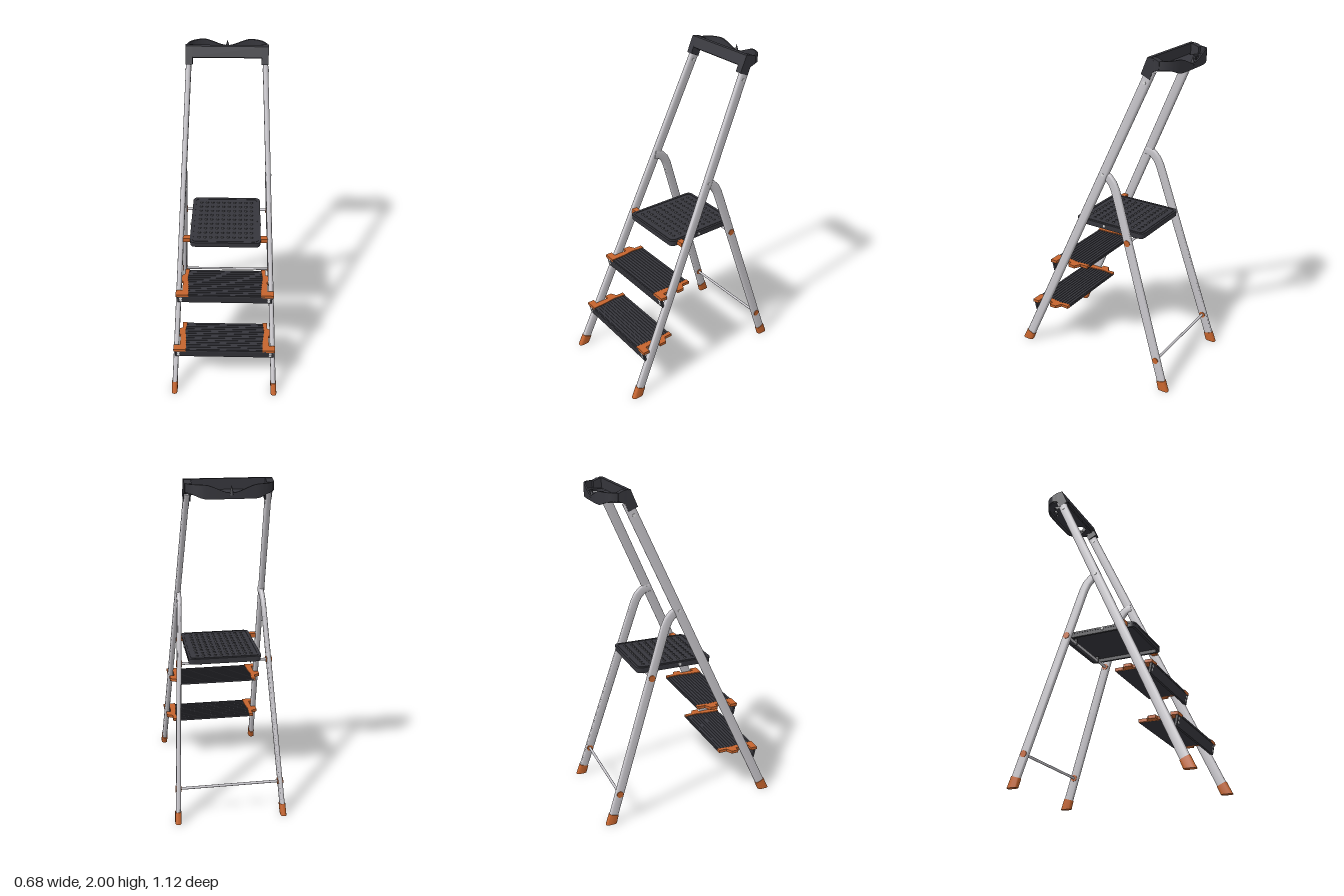
import * as THREE from 'three';
import { toCreasedNormals } from 'three/addons/utils/BufferGeometryUtils.js';

const V = (x, y, z) => new THREE.Vector3(x, y, z);
const material = (name, color) => Object.assign(new THREE.MeshStandardMaterial({ color }), { name });

// Skin a list of equal-length closed rings, with end caps
function loft(rings) {
  const tris = [], n = rings[0].length;
  const cap = (r, flip) => {
    const c = r.reduce((s, p) => s.add(p), V(0, 0, 0)).divideScalar(n);
    r.forEach((p, j) => { const q = r[(j + 1) % n]; tris.push(flip ? [c, q, p] : [c, p, q]); });
  };
  for (let i = 0; i < rings.length - 1; i++) for (let j = 0; j < n; j++) {
    const k = (j + 1) % n, a = rings[i][j], b = rings[i][k], c = rings[i + 1][k], d = rings[i + 1][j];
    tris.push([a, b, c], [a, c, d]);
  }
  cap(rings[0], true);
  cap(rings[rings.length - 1], false);
  // Turn the faces outward whichever way the rings run
  const volume = tris.reduce((s, [a, b, c]) => s + a.dot(b.clone().cross(c)), 0);
  const pos = tris.flatMap(t => (volume < 0 ? [t[0], t[2], t[1]] : t)).flatMap(p => [p.x, p.y, p.z]);
  const g = new THREE.BufferGeometry();
  g.setAttribute('position', new THREE.Float32BufferAttribute(pos, 3));
  return toCreasedNormals(g, 0.7);
}

// Rounded tube section: half width along x, half depth along (uy, uz)
function section(c, hw, uy, uz) {
  return Array.from({ length: 20 }, (_, i) => {
    const a = i / 20 * Math.PI * 2, r = v => Math.sign(v) * Math.abs(v) ** 0.6;
    const s = r(Math.sin(a));
    return V(c.x + hw * r(Math.cos(a)), c.y + uy * s, c.z + uz * s);
  });
}

// Tube through points, kept upright in x
function rail(points, hw, hd) {
  return loft(points.map((p, i) => {
    const t = points[Math.min(i + 1, points.length - 1)].clone().sub(points[Math.max(i - 1, 0)]);
    const l = Math.hypot(t.y, t.z);
    return section(p, hw, -t.z / l * hd, t.y / l * hd);
  }));
}

// Horizontal slab from a shape drawn in (x, -z)
function slab(shape, y, h) {
  const g = new THREE.ExtrudeGeometry(shape, { depth: h, bevelEnabled: false, curveSegments: 10 });
  return g.rotateX(-Math.PI / 2).translate(0, y, 0);
}

// Profile drawn in (z, y) and extruded between x0 and x1
function profile(pts, x0, x1) {
  const shape = new THREE.Shape(pts.map(p => new THREE.Vector2(...p)));
  const g = new THREE.ExtrudeGeometry(shape, { depth: x1 - x0, bevelEnabled: false });
  return g.rotateY(-Math.PI / 2).translate(x1, 0, 0);
}

function roundRect(hx, z0, z1, r) {
  const s = new THREE.Shape(), a = -z1, b = -z0;
  s.moveTo(-hx + r, a).lineTo(hx - r, a).quadraticCurveTo(hx, a, hx, a + r);
  s.lineTo(hx, b - r).quadraticCurveTo(hx, b, hx - r, b);
  s.lineTo(-hx + r, b).quadraticCurveTo(-hx, b, -hx, b - r);
  s.lineTo(-hx, a + r).quadraticCurveTo(-hx, a, -hx + r, a);
  return s;
}

const box = (w, h, d, x, y, z) => new THREE.BoxGeometry(w, h, d).translate(x, y, z);
const rod = (r, len, x, y, z, n = 16) =>
  new THREE.CylinderGeometry(r, r, len, n).rotateZ(Math.PI / 2).translate(x, y, z);

// Centre lines of the legs by height
const frontX = y => 0.32 - 0.05 * y, frontZ = y => 0.525 - 0.451 * y;
const rearX = y => 0.32 - 0.054 * y, rearZ = y => -0.525 + 0.322 * y;

export function createModel() {
  const model = new THREE.Group();
  model.name = 'stepLadder';
  const silver = material('aluminium', 0xc6c4c9);
  const dark = material('charcoal plastic', 0x36363c);
  const orange = material('orange plastic', 0xc5642d);
  const steel = material('bright steel', 0xdededf);
  const add = (name, g, m, parent = model) => {
    const mesh = new THREE.Mesh(g, m);
    mesh.name = name;
    parent.add(mesh);
    return mesh;
  };

  for (const s of [1, -1]) {
    const side = s > 0 ? 'left' : 'right';
    const front = y => V(s * frontX(y), y, frontZ(y));
    const rear = y => V(s * rearX(y), y, rearZ(y));

    // Legs
    add(side + 'FrontRail', rail([front(0.04), front(1.93)], 0.016, 0.029), silver);
    const bend = [[1.2, -0.138], [1.24, -0.118], [1.27, -0.09], [1.283, -0.065], [1.288, -0.04]]
      .map(([y, z]) => V(s * rearX(y), y, z));
    add(side + 'RearLeg', rail([rear(0.04), rear(0.6), rear(1.1), rear(1.15), ...bend], 0.014, 0.028), silver);

    // Feet, cut level with the floor
    add(side + 'FrontFoot', loft([section(front(0), 0.019, 0, 0.036), section(front(0.06), 0.019, 0.013, 0.029)]), orange);
    add(side + 'RearFoot', loft([section(rear(0), 0.018, 0, 0.034), section(rear(0.06), 0.018, -0.009, 0.029)]), orange);

    // Rod end caps and bolts
    for (const y of [0.19, 0.9]) add(side + 'RodCap', rod(0.02, 0.034, s * rearX(y), y, rearZ(y)), orange);
    for (const y of [1.29, 1.86]) add(side + 'RailBolt', rod(0.009, 0.037, s * frontX(y), y, frontZ(y)), steel);
    add(side + 'PlatformPivot', rod(0.009, 0.008, s * 0.219, 0.934, -0.03), steel);
    add(side + 'PlatformHinge', box(0.045, 0.028, 0.035, s * 0.238, 0.932, 0.118), orange);

    // Sockets of the top handle
    const socket = [[-0.29, 1.905], [-0.33, 2], [-0.37, 1.996], [-0.4, 1.983], [-0.4, 1.94], [-0.362, 1.925], [-0.345, 1.88]];
    add(side + 'HandleSocket', profile(socket, s * 0.222 - 0.02, s * 0.222 + 0.02), dark);
  }

  // Cross rods
  for (const y of [0.19, 0.9]) add('crossRod', rod(0.008, rearX(y) * 2, 0, y, rearZ(y)), silver);

  // Two steps with ribbed treads, sloping front skirts and orange ends
  for (const y of [0.312, 0.642]) {
    const step = new THREE.Group();
    step.name = y < 0.5 ? 'lowerStep' : 'middleStep';
    model.add(step);
    const x = frontX(y), z = frontZ(y), f = z + 0.085;
    const half = x - 0.04;
    add('tread', box(half * 2, 0.012, 0.245, 0, y - 0.009, f - 0.1225), dark, step);
    for (let i = 0; i < 12; i++) add('rib', box(half * 2 - 0.02, 0.005, 0.01, 0, y - 0.002, f - 0.012 - i * 0.02), dark, step);
    add('skirt', profile([[f, y - 0.004], [f - 0.014, y - 0.004], [f - 0.028, y - 0.072], [f - 0.015, y - 0.072]], -x - 0.008, x + 0.008), dark, step);
    for (const s of [1, -1]) {
      const outline = [[0.062, 0.085], [-0.017, 0.085], [-0.017, 0.042], [0.022, 0.042], [0.022, -0.045],
        [-0.008, -0.045], [-0.008, -0.09], [0.03, -0.11], [0.03, -0.16], [0.058, -0.16], [0.05, -0.08], [0.06, 0]];
      const shape = new THREE.Shape(outline.map(([dx, dz]) => new THREE.Vector2(s * (x - dx), -(z + dz))));
      add('endTrim', slab(shape, y - 0.014, 0.018), orange, step);
      for (const dy of [0.03, 0.052]) {
        const screw = new THREE.CylinderGeometry(0.009, 0.009, 0.008, 14).rotateX(Math.PI / 2);
        add('skirtScrew', screw.translate(s * (x - 0.013), y - dy, f - 0.002 - (dy - 0.004) * 0.22), steel, step);
      }
    }
  }

  // Platform with hollow underside, border and studs
  const platform = new THREE.Group();
  platform.name = 'platform';
  model.add(platform);
  add('platformTop', slab(roundRect(0.218, -0.3, 0.178, 0.035), 0.936, 0.011), dark, platform);
  const skirt = roundRect(0.216, -0.298, 0.176, 0.034);
  skirt.holes.push(roundRect(0.2, -0.282, 0.16, 0.025));
  add('platformRim', slab(skirt, 0.914, 0.023), dark, platform);
  const border = roundRect(0.205, -0.287, 0.165, 0.03);
  border.holes.push(roundRect(0.198, -0.28, 0.158, 0.025));
  add('platformBorder', slab(border, 0.946, 0.004), dark, platform);
  for (let r = 0; r < 9; r++) for (let c = 0; c < 10; c++) {
    const stud = new THREE.CylinderGeometry(0.006, 0.01, 0.005, 10);
    add('stud', stud.translate(-0.162 + c * 0.036, 0.949, -0.244 + r * 0.0455), dark, platform);
  }
  for (const x of [-0.16, 0.14]) add('platformHook', box(0.006, 0.04, 0.02, x, 0.907, -0.235), dark, platform);

  // Top handle: front bar, tray with tool holes and a wavy back rim
  const handle = new THREE.Group();
  handle.name = 'topHandle';
  model.add(handle);
  add('handleBar', profile([[-0.306, 1.942], [-0.33, 2], [-0.352, 2], [-0.352, 1.942]], -0.24, 0.24), dark, handle);
  const tray = new THREE.Shape();
  tray.moveTo(-0.235, 0.325).lineTo(0.235, 0.325).lineTo(0.235, 0.37);
  tray.bezierCurveTo(0.23, 0.44, 0.19, 0.465, 0.12, 0.472).lineTo(-0.12, 0.472);
  tray.bezierCurveTo(-0.19, 0.465, -0.23, 0.44, -0.235, 0.37).closePath();
  for (const [x, y, rx, ry] of [[0.135, 0.395, 0.043, 0.052], [-0.192, 0.362, 0.014, 0.018],
    [-0.167, 0.405, 0.014, 0.017], [-0.13, 0.434, 0.012, 0.014], [-0.088, 0.446, 0.009, 0.01]]) {
    tray.holes.push(new THREE.Path().absellipse(x, y, rx, ry, 0, Math.PI * 2, true));
  }
  add('toolTray', slab(tray, 1.93, 0.012), dark, handle);
  const path = new THREE.CatmullRomCurve3([[0.237, -0.34], [0.235, -0.39], [0.21, -0.44], [0.16, -0.467], [0.1, -0.475], [0, -0.477],
    [-0.1, -0.475], [-0.16, -0.467], [-0.21, -0.44], [-0.235, -0.39], [-0.237, -0.34]].map(([x, z]) => V(x, 0, z)));
  const rings = [];
  for (let i = 0; i <= 60; i++) {
    const p = path.getPoint(i / 60), t = path.getTangent(i / 60);
    const n = V(-t.z, 0, t.x).multiplyScalar(0.005), w = Math.min(1, Math.abs(p.x) / 0.15);
    const top = 1.942 + 0.043 * w * w * (3 - 2 * w);
    const low = 1.91 + 0.028 * THREE.MathUtils.smoothstep(Math.abs(p.x), 0.13, 0.23);
    rings.push([[1, low], [1, top], [-1, top], [-1, low]].map(([k, y]) => V(p.x + k * n.x, y, p.z + k * n.z)));
  }
  add('backRim', loft(rings), dark, handle);
  add('rimPeg', new THREE.ConeGeometry(0.014, 0.05, 12).translate(0, 1.955, -0.472), dark, handle);

  return model;
}
